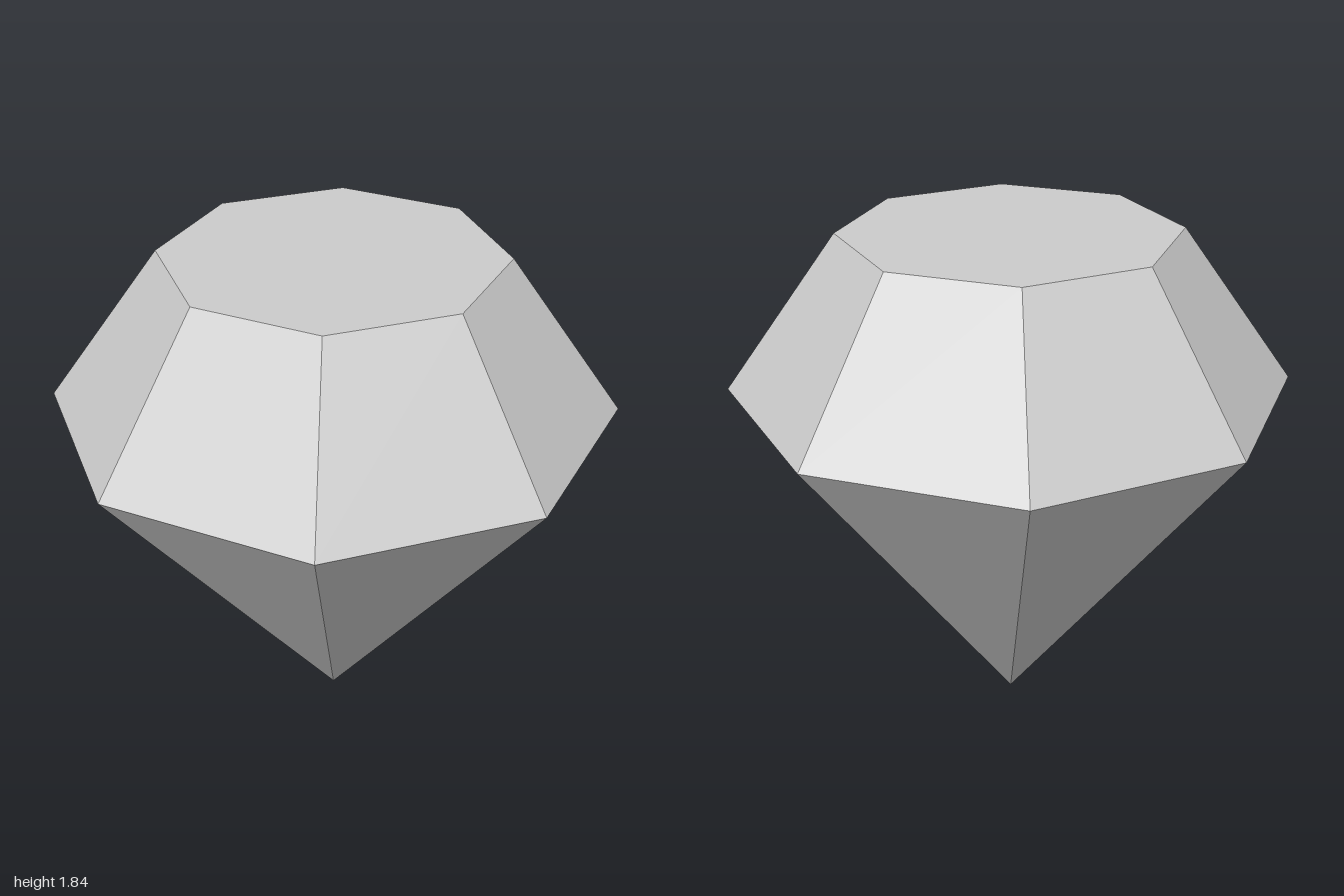
import * as THREE from 'three';

const SIDES = 8;
const GIRDLE_Y = 1.28;
const TOP_Y = 1.84;
const GIRDLE_R = 1;
const TABLE_R = 0.6;

export function createModel() {
  const gem = new THREE.Group();
  gem.name = 'gem';

  const paleGrey = new THREE.MeshStandardMaterial({ color: 0xcccccc });
  paleGrey.name = 'paleGrey';
  paleGrey.flatShading = true;

  const addPart = (name, geometry, y) => {
    const mesh = new THREE.Mesh(geometry, paleGrey);
    mesh.name = name;
    mesh.position.y = y;
    gem.add(mesh);
    return mesh;
  };

  // Open band of flat facets between two radii
  const facets = (topR, bottomR, height) =>
    new THREE.CylinderGeometry(topR, bottomR, height, SIDES, 1, true);

  // Lower facets meeting in a point
  addPart('pavilion', facets(GIRDLE_R, 0, GIRDLE_Y), GIRDLE_Y / 2);

  // Sloping upper facets
  addPart('crown', facets(TABLE_R, GIRDLE_R, TOP_Y - GIRDLE_Y), (GIRDLE_Y + TOP_Y) / 2);

  // Flat octagonal top
  const table = new THREE.CircleGeometry(TABLE_R, SIDES).rotateX(-Math.PI / 2);
  addPart('table', table, TOP_Y);

  return gem;
}
